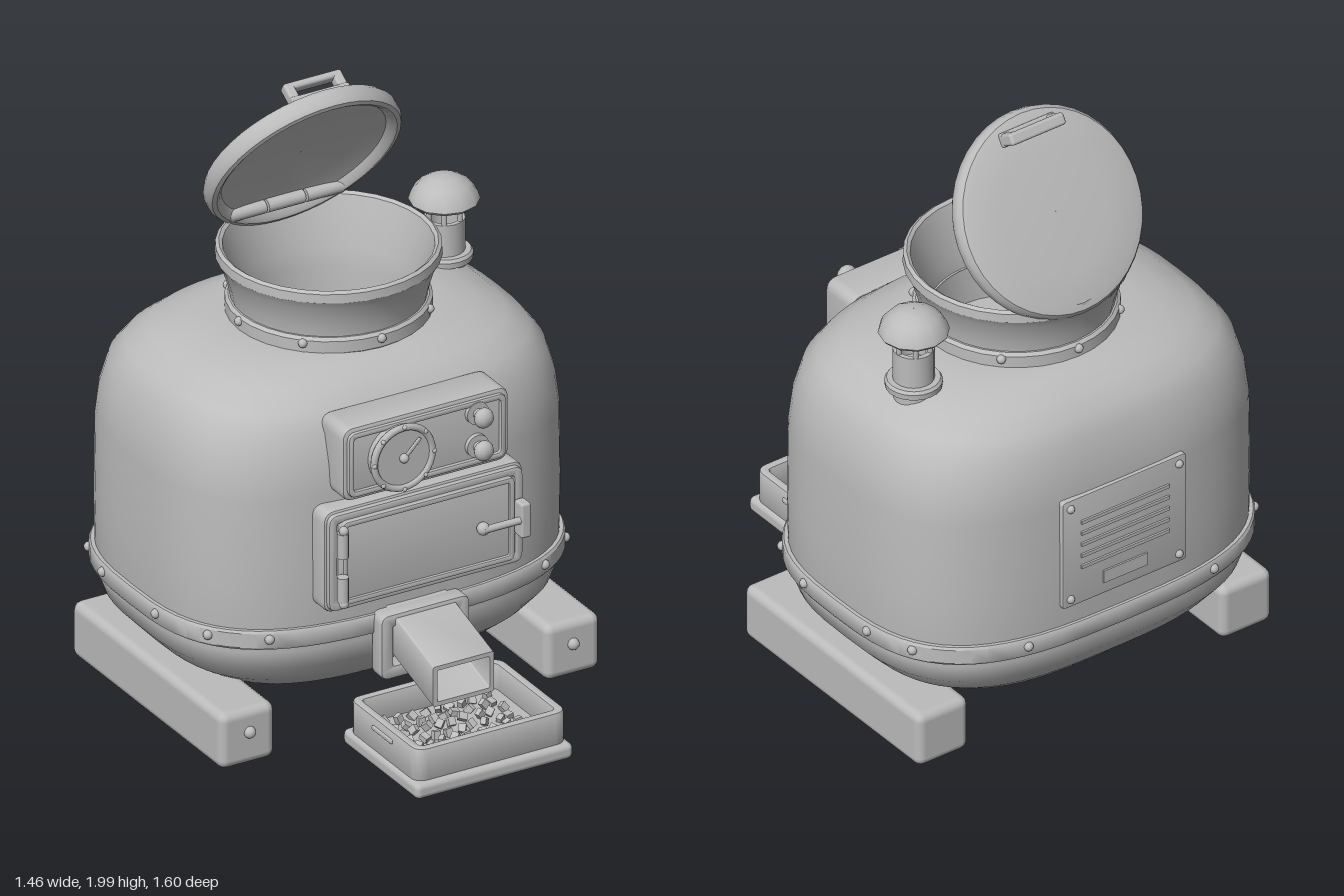
import * as THREE from 'three';
import { toCreasedNormals } from 'three/addons/utils/BufferGeometryUtils.js';
import { RoundedBoxGeometry } from 'three/addons/geometries/RoundedBoxGeometry.js';

const metal = new THREE.MeshStandardMaterial({ color: 0xbcbcbc, side: THREE.DoubleSide });
metal.name = 'grey metal';
const CZ = -0.23; // depth of the boiler's centre

function add(parent, name, geo, x = 0, y = 0, z = 0) {
  const m = new THREE.Mesh(geo, metal);
  m.name = name;
  m.position.set(x, y, z);
  parent.add(m);
  return m;
}

const box = (w, h, d, r = 0.01) => new RoundedBoxGeometry(w, h, d, 2, r);
const lathe = (pts, seg = 32) => toCreasedNormals(
  new THREE.LatheGeometry(pts.map(p => new THREE.Vector2(...p)), seg), 0.6);
const ball = r => new THREE.SphereGeometry(r, 10, 8);
const rod = (r, h, seg = 12) => new THREE.CylinderGeometry(r, r, h, seg);

// Point on a rounded oval
function oval(a, b, n, t) {
  const c = Math.cos(t), s = Math.sin(t);
  return [a * Math.sign(c) * Math.abs(c) ** (2 / n), b * Math.sign(s) * Math.abs(s) ** (2 / n)];
}

// Skin over oval rings [y, halfWidth, halfDepth, exponent], from bottom to top
function loft(rings, seg = 64) {
  const pos = [], idx = [];
  rings.forEach(([y, a, b, n], i) => {
    for (let j = 0; j < seg; j++) {
      const [x, z] = oval(a, b, n, j / seg * Math.PI * 2);
      pos.push(x, y, z);
      if (i === rings.length - 1) continue;
      const p = i * seg + j, q = i * seg + (j + 1) % seg;
      idx.push(p, p + seg, q + seg, p, q + seg, q);
    }
  });
  const g = new THREE.BufferGeometry();
  g.setAttribute('position', new THREE.Float32BufferAttribute(pos, 3));
  g.setIndex(idx);
  g.computeVertexNormals();
  return g;
}

function roundRect(w, h, r, P = THREE.Shape) {
  const s = new P(), x = w / 2, y = h / 2;
  s.moveTo(-x + r, -y);
  s.lineTo(x - r, -y).quadraticCurveTo(x, -y, x, -y + r);
  s.lineTo(x, y - r).quadraticCurveTo(x, y, x - r, y);
  s.lineTo(-x + r, y).quadraticCurveTo(-x, y, -x, y - r);
  s.lineTo(-x, -y + r).quadraticCurveTo(-x, -y, -x + r, -y);
  return s;
}

// Rounded plate from z = 0 to z = d; a rim width leaves an open frame
function plate(w, h, d, r, rim = 0, bevel = 0.01) {
  const s = roundRect(w - 2 * bevel, h - 2 * bevel, r);
  if (rim) s.holes.push(roundRect(w - 2 * rim + 2 * bevel, h - 2 * rim + 2 * bevel, r * 0.7, THREE.Path));
  const g = new THREE.ExtrudeGeometry(s, {
    depth: d - 2 * bevel, bevelSize: bevel, bevelThickness: bevel, bevelSegments: 2, curveSegments: 5 });
  g.translate(0, 0, bevel);
  return toCreasedNormals(g, 0.6);
}

export function createModel() {
  const model = new THREE.Group();
  model.name = 'pelletStove';

  // Boiler body and the band round it
  add(model, 'body', loft([
    [0.13, 0.001, 0.001, 2.6], [0.13, 0.3, 0.22, 2.8], [0.135, 0.45, 0.33, 3], [0.165, 0.54, 0.42, 3],
    [0.215, 0.615, 0.475, 3], [0.28, 0.675, 0.525, 3], [0.35, 0.7, 0.545, 3], [0.6, 0.705, 0.548, 3],
    [0.88, 0.702, 0.545, 3], [0.98, 0.69, 0.535, 3], [1.08, 0.662, 0.51, 3], [1.14, 0.618, 0.475, 2.9],
    [1.19, 0.55, 0.42, 2.8], [1.22, 0.46, 0.36, 2.5], [1.235, 0.37, 0.32, 2.2], [1.235, 0.28, 0.28, 2]]), 0, 0, CZ);
  add(model, 'band', toCreasedNormals(loft([[0.37, 0.69, 0.535, 3], [0.37, 0.714, 0.556, 3],
    [0.378, 0.719, 0.561, 3], [0.427, 0.719, 0.561, 3], [0.435, 0.714, 0.556, 3], [0.435, 0.69, 0.535, 3]]), 0.6), 0, 0, CZ);
  for (const t of [0.957, 0.55, 0.15, -0.166, -0.486, -1.21]) {
    const [x, z] = oval(0.719, 0.561, 3, t);
    for (const s of [-1, 1]) add(model, 'bandRivet', ball(0.016), s * x, 0.408, z + CZ);
  }

  // Hopper neck with a riveted collar
  add(model, 'hopperNeck', lathe([[0.001, 1.1], [0.275, 1.1], [0.278, 1.23], [0.285, 1.29], [0.325, 1.43],
    [0.332, 1.455], [0.343, 1.463], [0.354, 1.455], [0.356, 1.425], [0.338, 1.395], [0.318, 1.33],
    [0.306, 1.27], [0.306, 1.22]].reverse()), 0, 0, -0.22);
  add(model, 'neckCollar', lathe([[0.3, 1.225], [0.315, 1.225], [0.325, 1.235], [0.325, 1.275],
    [0.315, 1.285], [0.3, 1.285]]), 0, 0, -0.22);
  for (let i = 0; i < 8; i++) {
    const t = i * Math.PI / 4;
    add(model, 'collarRivet', ball(0.015), 0.325 * Math.sin(t), 1.265, -0.22 + 0.325 * Math.cos(t));
  }

  // Open lid, tipped up on its hinge
  const lid = new THREE.Group();
  lid.name = 'lid';
  lid.position.set(0, 1.695, -0.39);
  lid.rotation.x = -1.02;
  model.add(lid);
  add(lid, 'lidShell', lathe([[0.001, 0.002], [0.2, -0.004], [0.285, -0.02], [0.3, -0.04], [0.312, -0.046],
    [0.327, -0.042], [0.336, -0.026], [0.336, 0.005], [0.325, 0.022], [0.3, 0.029], [0.2, 0.036], [0.001, 0.04]], 40));
  add(lid, 'lidHandle', box(0.21, 0.025, 0.04), 0, 0.088, 0.27);
  add(lid, 'handleBase', box(0.21, 0.02, 0.045, 0.006), 0, 0.036, 0.27);
  for (const s of [-1, 1]) add(lid, 'handlePost', box(0.035, 0.075, 0.04), s * 0.087, 0.058, 0.27);
  for (const x of [-0.14, 0, 0.14])
    add(model, 'lidHinge', rod(0.022, 0.132), x, 1.48, -0.49).rotation.z = Math.PI / 2;

  // Vent pipe with a domed cap
  const vent = new THREE.Group();
  vent.name = 'vent';
  vent.position.set(0.492, 0, -0.345);
  model.add(vent);
  add(vent, 'ventBase', lathe([[0.001, 1.22], [0.09, 1.22], [0.092, 1.24], [0.085, 1.25], [0.001, 1.25]], 20));
  add(vent, 'ventPipe', lathe([[0.066, 1.15], [0.066, 1.36], [0.05, 1.36], [0.05, 1.3], [0.001, 1.3]], 20));
  for (let i = 0; i < 6; i++) {
    const t = (i + 0.5) * Math.PI / 3;
    add(vent, 'ventPost', rod(0.009, 0.12, 8), 0.056 * Math.sin(t), 1.38, 0.056 * Math.cos(t));
  }
  add(vent, 'ventCap', lathe([[0.001, 1.42], [0.105, 1.415], [0.113, 1.425], [0.105, 1.45], [0.08, 1.48],
    [0.045, 1.5], [0.001, 1.507]], 12));

  // Control panel: dial and two knobs
  const panel = new THREE.Group();
  panel.name = 'controlPanel';
  panel.position.set(0, 1.012, 0);
  model.add(panel);
  add(panel, 'panelBox', plate(0.6, 0.255, 0.14, 0.03), 0, 0, 0.235);
  add(panel, 'panelRim', plate(0.57, 0.225, 0.025, 0.025, 0.02, 0.005), 0, 0, 0.362);
  add(panel, 'dialFace', rod(0.105, 0.05, 32), -0.105, 0, 0.39).rotation.x = Math.PI / 2;
  add(panel, 'dialRing', new THREE.TorusGeometry(0.105, 0.012, 8, 32), -0.105, 0, 0.413);
  add(panel, 'dialHub', ball(0.016), -0.105, 0, 0.42);
  add(panel, 'dialNeedle', box(0.012, 0.085, 0.008, 0.003), -0.078, 0.028, 0.422).rotation.z = -Math.PI / 4;
  for (let i = 0; i < 8; i++) {
    const t = i * Math.PI / 4;
    add(panel, 'dialStud', ball(0.008), -0.105 + 0.108 * Math.cos(t), 0.108 * Math.sin(t), 0.422);
  }
  for (const y of [-0.047, 0.068]) {
    add(panel, 'knobBase', rod(0.039, 0.02, 20), 0.18, y, 0.38).rotation.x = Math.PI / 2;
    add(panel, 'knobStem', rod(0.018, 0.05), 0.18, y, 0.4).rotation.x = Math.PI / 2;
    add(panel, 'knob', ball(0.034), 0.18, y, 0.425).scale.z = 0.75;
  }

  // Fire door
  const door = new THREE.Group();
  door.name = 'fireDoor';
  door.position.set(0, 0.68, 0);
  model.add(door);
  add(door, 'doorFrame', plate(0.72, 0.355, 0.11, 0.03), 0, 0, 0.25);
  add(door, 'doorFrameRim', plate(0.7, 0.335, 0.025, 0.025, 0.03, 0.006), 0, 0, 0.352);
  add(door, 'doorLeaf', plate(0.62, 0.29, 0.04, 0.015, 0, 0.006), 0, 0, 0.345);
  add(door, 'doorLeafRim', plate(0.62, 0.29, 0.02, 0.015, 0.018, 0.004), 0, 0, 0.375);
  for (const s of [-1, 1]) {
    add(door, 'doorHinge', rod(0.019, 0.085), -0.318, s * 0.077, 0.405);
    add(door, 'hingeTip', ball(0.016), -0.318, s * 0.128, 0.41);
  }
  add(door, 'latchPivot', ball(0.022), 0.19, 0, 0.405);
  add(door, 'latchBar', rod(0.012, 0.15), 0.26, 0, 0.415).rotation.z = Math.PI / 2;
  add(door, 'latchCatch', box(0.035, 0.12, 0.05, 0.008), 0.332, 0, 0.405);

  // Outlet chute: a hollow square duct sloping forward
  add(model, 'chuteFlange', plate(0.32, 0.225, 0.065, 0.02, 0.045), 0, 0.333, 0.31);
  const ductShape = roundRect(0.22, 0.14, 0.008);
  ductShape.holes.push(roundRect(0.19, 0.11, 0.006, THREE.Path));
  const chute = new THREE.ExtrudeGeometry(ductShape, { depth: 0.305, bevelEnabled: false });
  const p = chute.attributes.position;
  for (let i = 0; i < p.count; i++) p.setY(i, p.getY(i) - p.getZ(i) * 0.3); // shear downhill
  add(model, 'chute', toCreasedNormals(chute, 0.6), 0, 0.383, 0.3);

  // Tray with pellets
  const tray = new THREE.Group();
  tray.name = 'tray';
  tray.position.set(0, 0, 0.572);
  model.add(tray);
  add(tray, 'trayBase', box(0.57, 0.055, 0.46, 0.02), 0, 0.052, 0);
  add(tray, 'trayWall', plate(0.545, 0.42, 0.12, 0.035, 0.03, 0.008), 0, 0.07, 0).rotation.x = -Math.PI / 2;
  add(tray, 'trayFloor', new THREE.BoxGeometry(0.51, 0.03, 0.39), 0, 0.085, 0);
  for (const s of [-1, 1]) add(tray, 'trayGrip', box(0.012, 0.015, 0.12, 0.004), s * 0.273, 0.155, 0);
  let seed = 7;
  const rnd = () => (seed = (seed * 16807) % 2147483647) / 2147483647;
  for (let r = 0; r < 6; r++) for (let c = 0; c < 9; c++) {
    const m = add(tray, 'pellet', new THREE.BoxGeometry(0.028, 0.018, 0.024),
      (c - 4) * 0.045 + (rnd() - 0.5) * 0.015, 0.107 + rnd() * 0.012, (r - 2.7) * 0.05 + (rnd() - 0.5) * 0.015);
    m.rotation.set(rnd() * 1.2, rnd() * 3, rnd() * 1.2);
  }

  // Skid feet
  for (const s of [-1, 1]) {
    add(model, 'foot', box(0.2, 0.195, 0.92, 0.03), s * 0.588, 0.1, -0.175);
    add(model, 'footBolt', ball(0.02), s * 0.585, 0.118, 0.287);
  }

  // Slotted plate on the back
  const back = new THREE.Group();
  back.name = 'backPlate';
  back.position.set(0, 0.705, -0.765);
  back.rotation.y = Math.PI;
  model.add(back);
  add(back, 'backSheet', plate(0.48, 0.4, 0.035, 0.01, 0, 0.004), 0, 0, -0.015);
  for (let i = 0; i < 5; i++) add(back, 'backSlot', new THREE.BoxGeometry(0.34, 0.012, 0.012), 0, 0.105 - i * 0.042, 0.021);
  add(back, 'backLabel', new THREE.BoxGeometry(0.17, 0.045, 0.012), 0, -0.135, 0.02);
  for (const x of [-0.21, 0.21]) for (const y of [-0.17, 0.17]) add(back, 'backBolt', ball(0.014), x, y, 0.021);

  return model;
}
